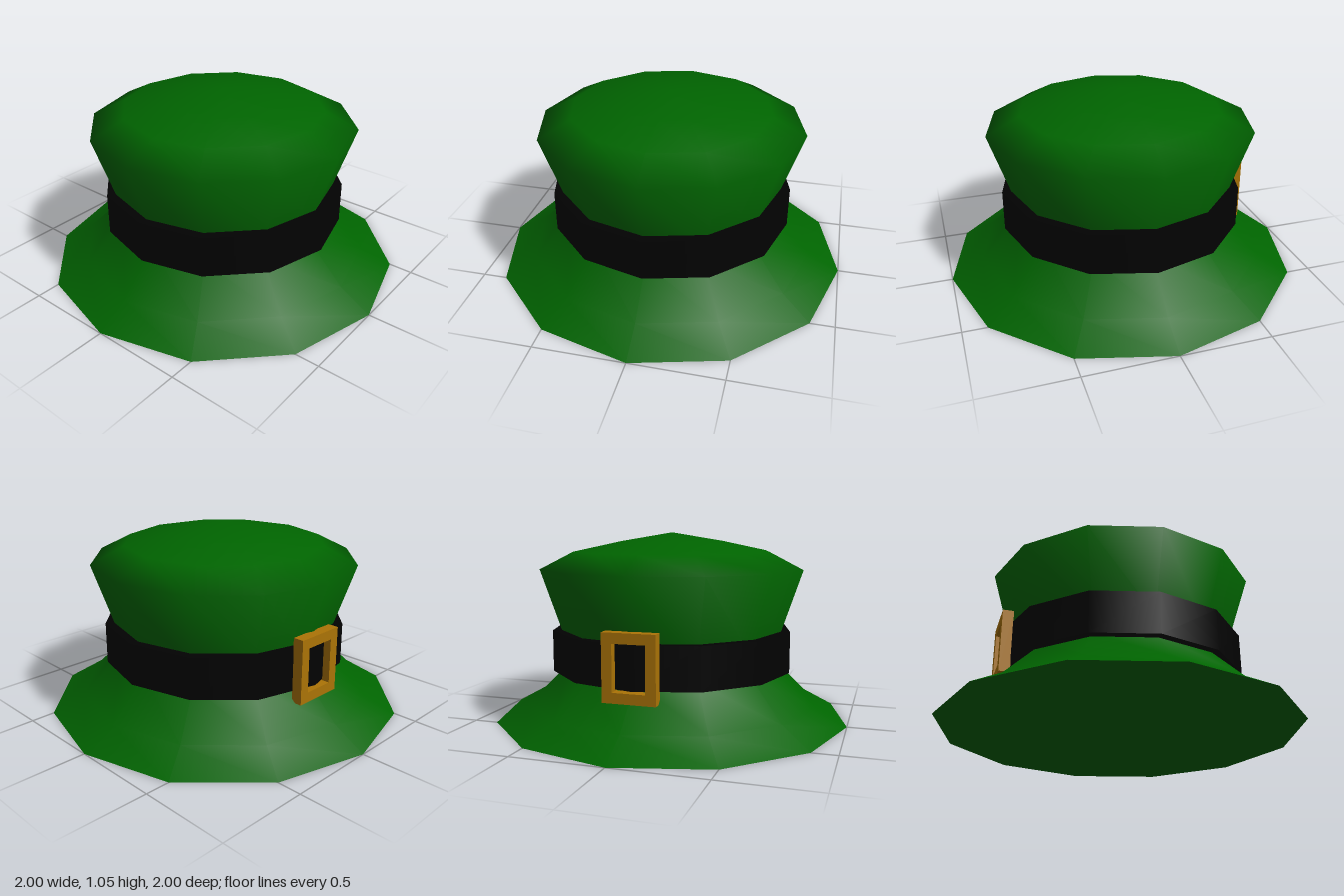
import * as THREE from 'three';
import { mergeVertices } from 'three/addons/utils/BufferGeometryUtils.js';

const SIDES = 12;

const mat = (name, color) => {
  const m = new THREE.MeshStandardMaterial({ color });
  m.name = name;
  return m;
};

// Turned shape with one shared smooth normal per corner, also at the pole
const smoothLathe = (points) => {
  const turned = new THREE.LatheGeometry(points.map(([r, y]) => new THREE.Vector2(r, y)), SIDES);
  turned.deleteAttribute('normal');
  turned.deleteAttribute('uv');
  const merged = mergeVertices(turned, 1e-4);
  merged.computeVertexNormals();
  return merged;
};

export function createModel() {
  const green = mat('green felt', 0x006400);
  const black = mat('black ribbon', 0x020202);
  const gold = mat('gold buckle', 0xac7406);

  const hat = new THREE.Group();
  hat.name = 'hat';
  const add = (name, geometry, material) => {
    const mesh = new THREE.Mesh(geometry, material);
    mesh.name = name;
    hat.add(mesh);
    return mesh;
  };

  // Flared brim, straight waist and domed crown in one smooth skin
  add('brimAndCrown', smoothLathe([
    [1, 0], [0.82, 0.1], [0.6, 0.315], [0.6, 0.42], [0.745, 0.85],
    [0.56, 0.945], [0.3, 1.0], [0, 1.05],
  ]), green);

  // Shallow hollow under the brim
  add('underside', smoothLathe([[0, 0.15], [1, 0]]), green);

  // Ribbon band, a solid disc around the waist
  const band = add('band', new THREE.CylinderGeometry(0.68, 0.68, 0.23, SIDES), black);
  band.position.y = 0.395;

  // Square buckle frame on the back of the band
  const [w, h, border, depth] = [0.285, 0.355, 0.055, 0.06];
  const rect = (target, a, b) => target
    .moveTo(-a, -b).lineTo(a, -b).lineTo(a, b).lineTo(-a, b).closePath();
  const frame = rect(new THREE.Shape(), w / 2, h / 2);
  frame.holes.push(rect(new THREE.Path(), w / 2 - border, h / 2 - border));
  const buckle = add('buckle',
    new THREE.ExtrudeGeometry(frame, { depth, bevelEnabled: false }), gold);
  buckle.position.set(0, 0.395, -0.7);

  return hat;
}
